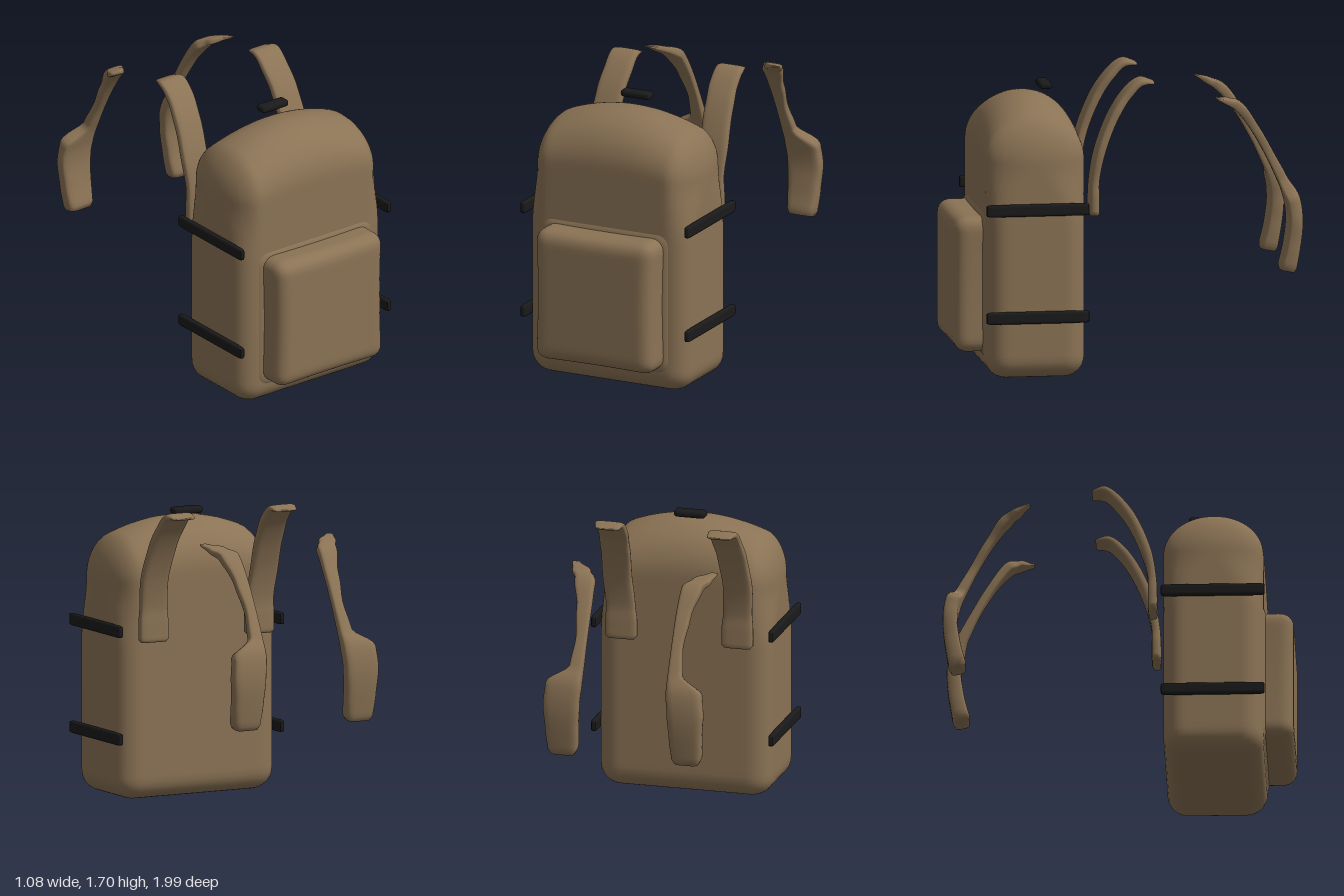
import * as THREE from 'three';
import { mergeVertices } from 'three/addons/utils/BufferGeometryUtils.js';

const canvas = new THREE.MeshStandardMaterial({ color: 0x8b7355 });
const webbing = new THREE.MeshStandardMaterial({ color: 0x1a1a1a });

// Subdivided box with its edges rounded by radii (rx, ry, rz) that may vary, then warped.
function softBox(size, segs, radii, warp) {
  let geo = new THREE.BoxGeometry(...size, ...segs);
  geo.deleteAttribute('normal');
  geo.deleteAttribute('uv');
  geo = mergeVertices(geo, 1e-5);
  const pos = geo.attributes.position;
  const p = new THREE.Vector3();
  for (let i = 0; i < pos.count; i++) {
    p.fromBufferAttribute(pos, i);
    const r = radii(p);
    const v = p.toArray();
    const inner = v.map((c, k) => THREE.MathUtils.clamp(c, r[k] - size[k] / 2, size[k] / 2 - r[k]));
    const n = new THREE.Vector3(...v.map((c, k) => (c - inner[k]) / r[k])).normalize().toArray();
    p.set(...inner.map((c, k) => c + n[k] * r[k]));
    if (warp) warp(p);
    pos.setXYZ(i, p.x, p.y, p.z);
  }
  geo.computeVertexNormals();
  return geo;
}

// Padded strap lofted from stations [y, z, thickness, inner x, outer x], listed from the top down.
function strapGeometry(stations, side) {
  const rows = 48, ring = 20;
  const path = new THREE.CatmullRomCurve3(stations.map(s => new THREE.Vector3(0, s[0], s[1])), false, 'centripetal');
  const verts = [], index = [];
  const tri = (a, b, c) => (side > 0 ? index.push(a, b, c) : index.push(a, c, b));
  const round = c => Math.sign(c) * Math.pow(Math.abs(c), 0.5);
  for (let i = 0; i <= rows; i++) {
    const u = i / rows;
    const c = path.getPoint(u), t = path.getTangent(u);
    const f = u * (stations.length - 1);
    const k = Math.min(Math.floor(f), stations.length - 2);
    const mix = m => THREE.MathUtils.lerp(stations[k][m], stations[k + 1][m], THREE.MathUtils.smoothstep(f - k, 0, 1));
    const shrink = i === 0 || i === rows ? 0.85 : 1;
    const mid = (mix(3) + mix(4)) / 2, half = (mix(4) - mix(3)) / 2 * shrink, thick = mix(2) / 2 * shrink;
    for (let j = 0; j < ring; j++) {
      const a = j / ring * Math.PI * 2;
      const off = round(Math.sin(a)) * thick;
      verts.push(side * (mid + round(Math.cos(a)) * half), c.y + t.z * off, c.z - t.y * off);
      if (i < rows) {
        const p = i * ring + j, q = i * ring + (j + 1) % ring;
        tri(p, q, p + ring);
        tri(q, q + ring, p + ring);
      }
    }
  }
  // end caps
  for (let j = 1; j < ring - 1; j++) {
    tri(0, j + 1, j);
    tri(rows * ring, rows * ring + j, rows * ring + j + 1);
  }
  const geo = new THREE.BufferGeometry();
  geo.setAttribute('position', new THREE.Float32BufferAttribute(verts, 3));
  geo.setIndex(index);
  geo.computeVertexNormals();
  return geo;
}

export function createModel() {
  const group = new THREE.Group();
  const add = (name, geo, mat, x = 0, y = 0, z = 0) => {
    const mesh = new THREE.Mesh(geo, mat);
    mesh.name = name;
    mesh.position.set(x, y, z);
    group.add(mesh);
    return mesh;
  };

  // main bag: soft box with a barrel top that also slopes towards the sides
  const body = softBox([1.02, 1.58, 0.57], [36, 48, 24],
    p => {
      const k = THREE.MathUtils.smoothstep(p.y, 0.1, 0.5);
      return [0.13, p.y > 0 ? 0.29 : 0.12, THREE.MathUtils.lerp(0.12, 0.28, k)];
    },
    p => {
      const top = 0.3;
      if (p.y > top) p.y = top + (p.y - top) * (1 - 0.27 * (p.x / 0.51) ** 2);
    });
  add('mainBag', body, canvas, 0, 0.8, 0.545);

  // front pocket, slightly pinched at mid height
  const pocket = softBox([0.76, 0.78, 0.36], [28, 28, 16], () => [0.075, 0.075, 0.08],
    p => {
      p.x *= 1 - 0.025 * Math.cos(p.y / 0.39 * Math.PI / 2);
      p.y *= 1 - 0.015 * Math.cos(p.x / 0.38 * Math.PI / 2);
    });
  add('frontPocket', pocket, canvas, 0, 0.54, 0.82);

  // soft seam where the pocket meets the bag
  add('pocketSeam', softBox([0.83, 0.85, 0.08], [28, 28, 8], () => [0.08, 0.08, 0.039]), canvas, 0, 0.54, 0.805);

  // carry handle
  add('carryHandle', softBox([0.185, 0.042, 0.072], [16, 8, 10], () => [0.018, 0.018, 0.018]), webbing, 0, 1.63, 0.432);

  // compression straps and shoulder straps, mirrored
  const upper = [
    [1.68, -0.145, 0.015, 0.26, 0.40], [1.685, -0.07, 0.04, 0.25, 0.42], [1.62, 0.005, 0.05, 0.25, 0.42],
    [1.5, 0.085, 0.055, 0.26, 0.43], [1.3, 0.165, 0.055, 0.27, 0.44], [1.13, 0.197, 0.05, 0.26, 0.43],
    [1.03, 0.2, 0.055, 0.25, 0.435], [0.93, 0.2, 0.055, 0.25, 0.435]];
  const lower = [
    [1.588, -0.495, 0.012, 0.38, 0.43], [1.56, -0.57, 0.04, 0.30, 0.41], [1.525, -0.635, 0.06, 0.255, 0.375],
    [1.39, -0.735, 0.05, 0.25, 0.335], [1.24, -0.82, 0.05, 0.25, 0.315], [1.1, -0.89, 0.06, 0.25, 0.33],
    [1.0, -0.935, 0.085, 0.25, 0.46], [0.88, -0.95, 0.085, 0.26, 0.47], [0.73, -0.935, 0.09, 0.27, 0.46],
    [0.585, -0.905, 0.1, 0.28, 0.45]];
  for (const side of [1, -1]) {
    const label = side > 0 ? 'left' : 'right';
    for (const [level, y] of [['Upper', 0.99], ['Lower', 0.372]]) {
      add(label + level + 'CompressionStrap', softBox([0.034, 0.07, 0.59], [8, 10, 24], () => [0.014, 0.014, 0.014]),
        webbing, side * 0.523, y, 0.545);
    }
    add(label + 'UpperShoulderStrap', strapGeometry(upper, side), canvas);
    add(label + 'LowerShoulderStrap', strapGeometry(lower, side), canvas);
  }
  return group;
}
